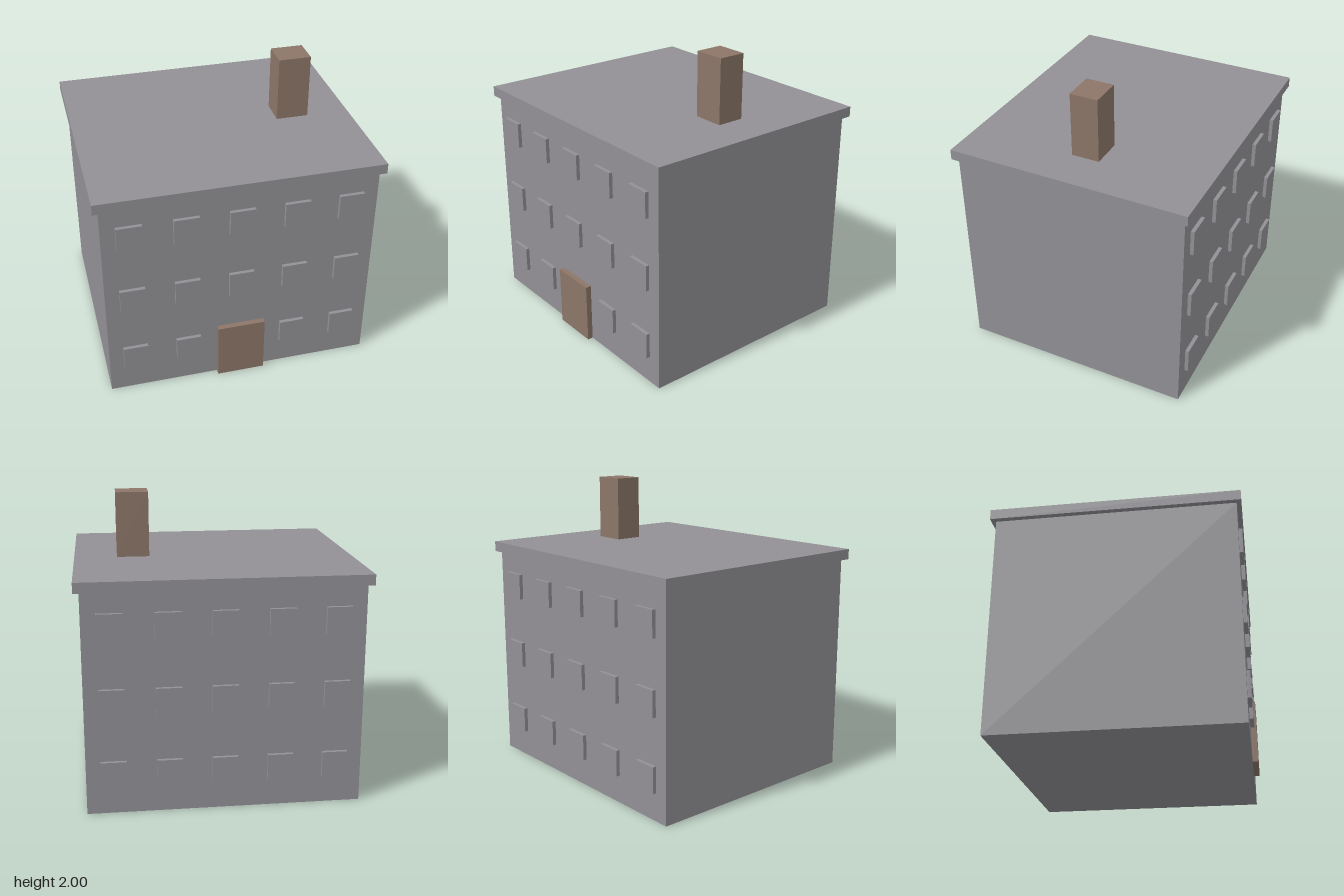
import * as THREE from 'three';

const material = (name, color) => {
  const m = new THREE.MeshStandardMaterial({ color });
  m.name = name;
  return m;
};

export function createModel() {
  const model = new THREE.Group();
  model.name = 'townHouse';
  const stone = material('greyStone', 0x929095);
  const brown = material('brown', 0x8c7668);

  // Box given by its min and max extents on each axis
  const box = (name, mat, [x0, x1], [y0, y1], [z0, z1], parent = model) => {
    const mesh = new THREE.Mesh(new THREE.BoxGeometry(x1 - x0, y1 - y0, z1 - z0), mat);
    mesh.position.set((x0 + x1) / 2, (y0 + y1) / 2, (z0 + z1) / 2);
    mesh.name = name;
    parent.add(mesh);
  };

  // Main volume, overhanging flat roof, chimney and door
  box('walls', stone, [-0.908, 0.908], [0, 1.49], [-0.797, 0.79]);
  box('roofSlab', stone, [-0.945, 0.945], [1.49, 1.56], [-0.828, 0.82]);
  box('chimney', brown, [0.435, 0.654], [1.56, 2], [-0.098, 0.093]);
  box('door', brown, [-0.163, 0.163], [0, 0.413], [0.79, 0.828]);

  // Three rows of five raised windows on the front and back
  const windows = new THREE.Group();
  windows.name = 'windows';
  model.add(windows);
  for (const y of [0.277, 0.77, 1.267]) {
    for (let i = -2; i <= 2; i++) {
      const x = i * 0.364;
      const xs = [x - 0.084, x + 0.084];
      const ys = [y - 0.088, y + 0.088];
      const doorway = i === 0 && y < 0.5;
      if (!doorway) box('frontWindow', stone, xs, ys, [0.79, 0.815], windows);
      box('backWindow', stone, xs, ys, [-0.822, -0.797], windows);
    }
  }
  return model;
}
